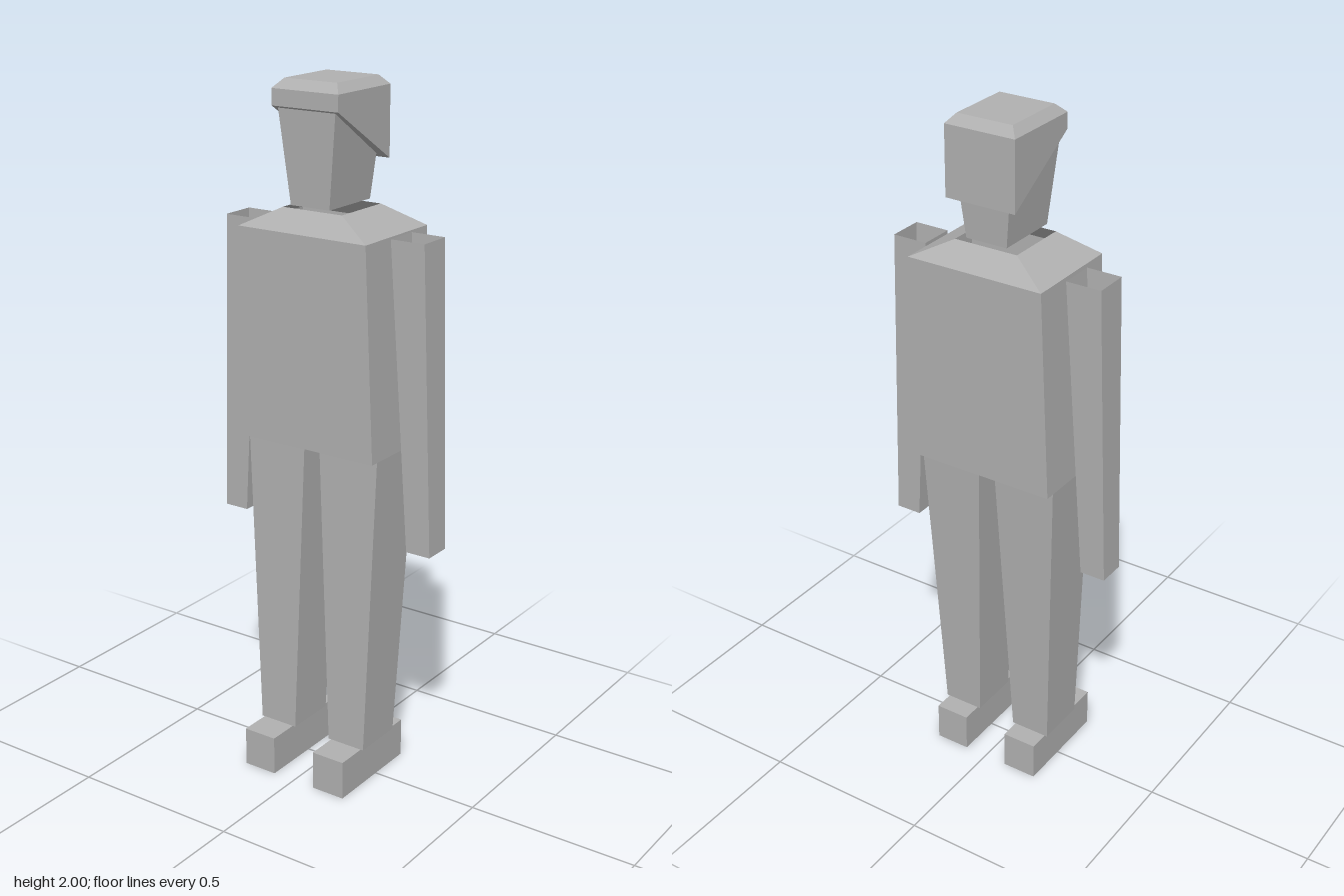
import * as THREE from 'three';

const grey = new THREE.MeshStandardMaterial({ color: 0xb0b0b0, flatShading: true, side: THREE.DoubleSide });
grey.name = 'plain grey';

// A four-cornered cross-section; the back edge may sit at its own height.
const ring = (y, x0, x1, zBack, zFront, yBack = y) => [
  [x0, y, zFront], [x1, y, zFront], [x1, yBack, zBack], [x0, yBack, zBack],
];

// Joins cross-sections, listed from bottom to top, with optional end faces.
function loft(name, rings, { bottom = false, top = false } = {}) {
  const points = [];
  const quad = (a, b, c, d) => points.push(...a, ...b, ...c, ...a, ...c, ...d);
  for (let i = 0; i < rings.length - 1; i++) {
    const low = rings[i], high = rings[i + 1];
    for (let j = 0; j < 4; j++) {
      const k = (j + 1) % 4;
      quad(low[j], low[k], high[k], high[j]);
    }
  }
  if (bottom) quad(...[...rings[0]].reverse());
  if (top) quad(...rings[rings.length - 1]);
  const geometry = new THREE.BufferGeometry();
  geometry.setAttribute('position', new THREE.Float32BufferAttribute(points, 3));
  geometry.computeVertexNormals();
  const mesh = new THREE.Mesh(geometry, grey);
  mesh.name = name;
  return mesh;
}

// A section on one side of the body, mirrored when side is -1.
const sideRing = (side, y, inner, outer, zBack, zFront) =>
  side > 0 ? ring(y, inner, outer, zBack, zFront) : ring(y, -outer, -inner, zBack, zFront);

export function createModel() {
  const model = new THREE.Group();
  model.name = 'figure';

  // Jacket body with sloping shoulders, open at the neck and waist
  model.add(loft('torso', [
    ring(1.01, -0.228, 0.228, -0.166, 0.119),
    ring(1.605, -0.205, 0.205, -0.172, 0.124),
    ring(1.66, -0.095, 0.095, -0.113, 0.071),
  ]));

  // Tapered face, and hair cut on a slant from brow to nape
  model.add(loft('face', [
    ring(1.67, -0.062, 0.062, -0.11, 0.08),
    ring(1.93, -0.091, 0.091, -0.128, 0.095),
  ], { bottom: true }));
  model.add(loft('hair', [
    ring(1.93, -0.105, 0.105, -0.138, 0.103, 1.78),
    ring(1.975, -0.105, 0.105, -0.138, 0.103),
    ring(2, -0.083, 0.083, -0.114, 0.076),
  ], { bottom: true, top: true }));

  for (const [side, label] of [[1, 'left'], [-1, 'right']]) {
    // Arm, open at the shoulder
    model.add(loft(label + 'Arm', [
      sideRing(side, 0.735, 0.275, 0.35, -0.064, 0.017),
      sideRing(side, 1.605, 0.218, 0.321, -0.075, 0.026),
    ], { bottom: true }));
    // Tapered leg
    model.add(loft(label + 'Leg', [
      sideRing(side, 0.115, 0.06, 0.18, -0.075, 0.08),
      sideRing(side, 1.01, 0.025, 0.215, -0.118, 0.075),
    ]));
    // Shoe, open underneath
    model.add(loft(label + 'Foot', [
      sideRing(side, 0, 0.069, 0.172, -0.135, 0.172),
      sideRing(side, 0.115, 0.069, 0.172, -0.135, 0.172),
    ], { top: true }));
  }
  return model;
}
